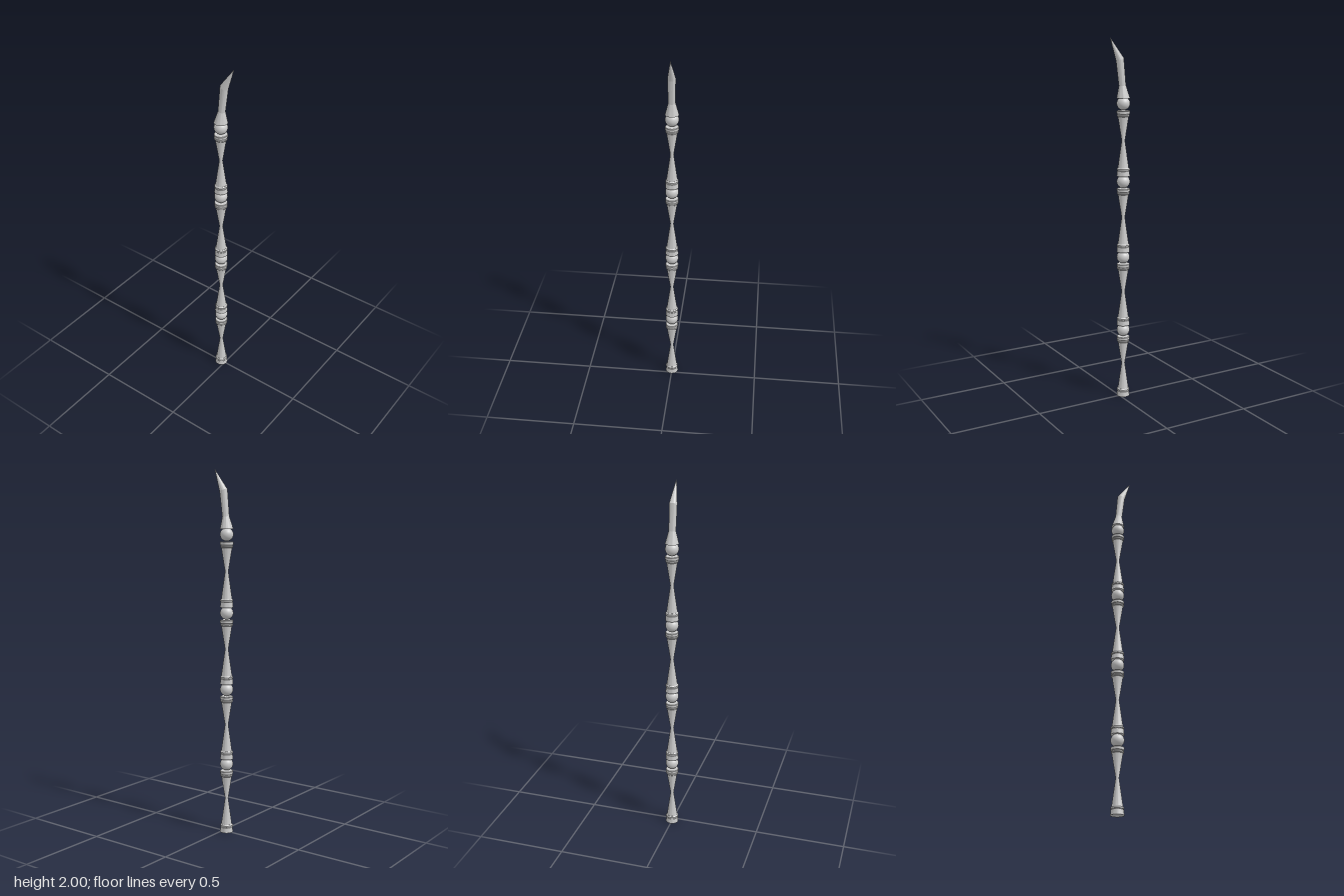
import * as THREE from 'three';
import { toCreasedNormals } from 'three/addons/utils/BufferGeometryUtils.js';

const AXIS = -0.024, PITCH = 0.421, SIDES = 32;

export function createModel() {
  const model = new THREE.Group();
  const material = new THREE.MeshStandardMaterial({ color: 0xcccccc });
  const add = (parent, name, geometry, y = 0) => {
    const mesh = new THREE.Mesh(geometry, material);
    mesh.name = name;
    mesh.position.y = y;
    parent.add(mesh);
  };
  const turned = (points) => toCreasedNormals(
    new THREE.LatheGeometry(points.map(([r, y]) => new THREE.Vector2(r, y)), SIDES), 0.5);

  // Waisted shaft with stepped collars at both ends, topped by a ball
  const lowerCollar = turned([[0, 0.004], [0.036, 0.004], [0.033, 0.032], [0.03, 0.034],
    [0.035, 0.036], [0.035, 0.044], [0.03, 0.05], [0, 0.05]]);
  const shaft = turned([[0, 0.046], [0.03, 0.046], [0.009, 0.197], [0.03, 0.33], [0, 0.33]]);
  const upperCollar = turned([[0, 0.324], [0.03, 0.324], [0.034, 0.328], [0.034, 0.334], [0.03, 0.337],
    [0.035, 0.34], [0.036, 0.354], [0.034, 0.357], [0, 0.357]]);
  const ball = new THREE.SphereGeometry(0.036, SIDES, 20);
  for (let i = 0; i < 4; i++) {
    const section = new THREE.Group();
    section.name = 'staffSection' + (i + 1);
    section.position.set(AXIS, i * PITCH - 0.004, 0);
    add(section, 'lowerCollar', lowerCollar);
    add(section, 'shaft', shaft);
    add(section, 'upperCollar', upperCollar);
    add(section, 'ball', ball, 0.395);
    model.add(section);
  }

  // Bent blade: rings given as centre x, centre y, radius and slope of the ring
  const rings = [
    [AXIS, 1.682, 0.036, 0],
    [-0.018, 1.748, 0.019, -0.1],
    [-0.003, 1.885, 0.021, -0.4],
    [0.057, 2, 0.0003, 0],
  ];
  const names = ['bladeSocket', 'bladeNeck', 'bladeTip'];
  names.forEach((name, i) => {
    const geometry = new THREE.CylinderGeometry(1, 1, 1, SIDES, 1, i > 0);
    const p = geometry.attributes.position;
    for (let k = 0; k < p.count; k++) {
      const [cx, cy, r, slope] = rings[p.getY(k) > 0 ? i + 1 : i];
      const x = p.getX(k) * r;
      p.setXYZ(k, cx + x, cy + x * slope, p.getZ(k) * r);
    }
    add(model, name, toCreasedNormals(geometry, 0.5));
  });
  return model;
}
